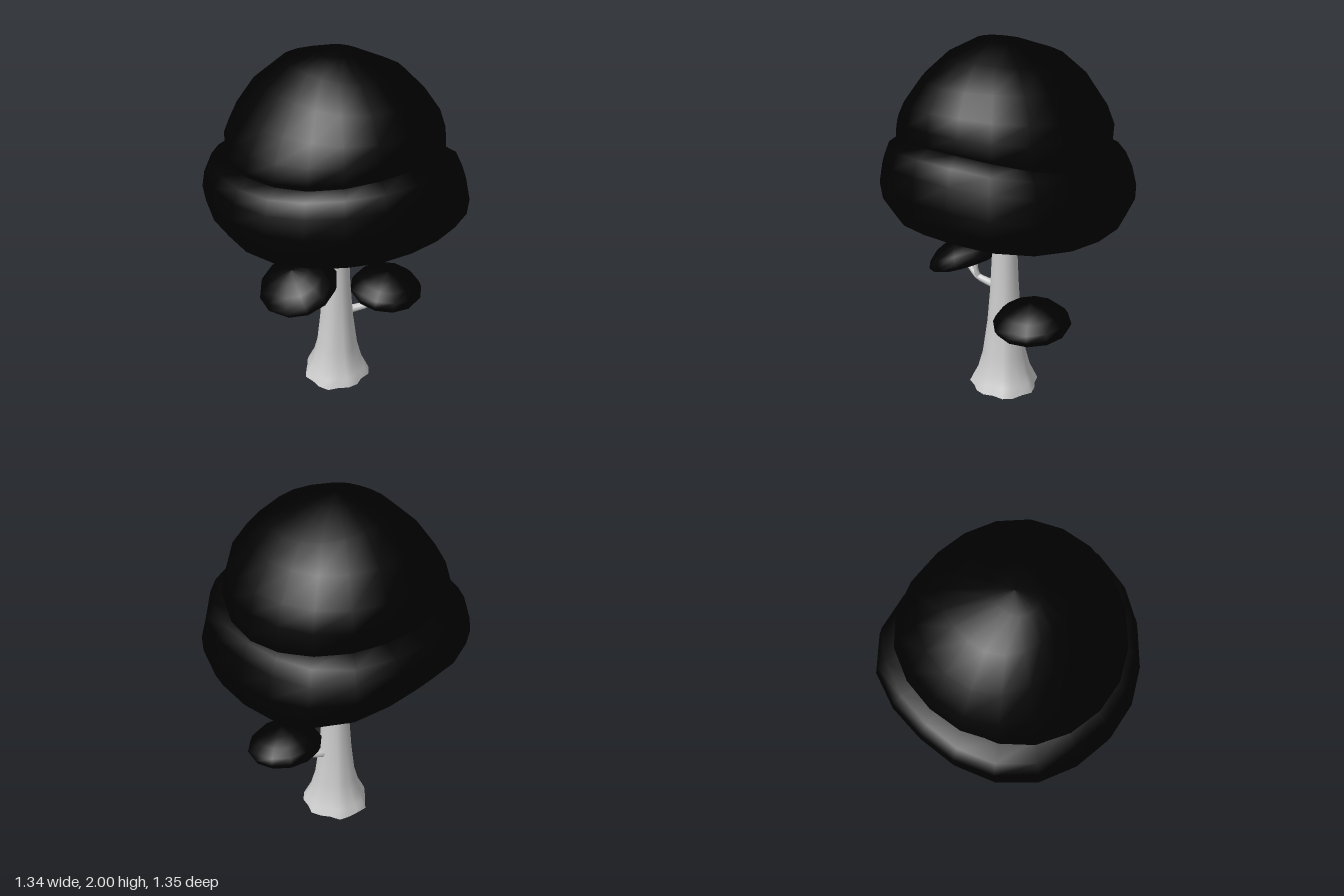
import * as THREE from 'three';

const bark = new THREE.MeshStandardMaterial({ color: 0xcccccc, side: THREE.DoubleSide });
const leaf = new THREE.MeshStandardMaterial({ color: 0x000000 });

// Smooth surface through closed rings stacked from bottom to top; point(row, angle) gives [x, y, z]
function loft(name, material, rows, segs, point) {
  const pos = [], index = [];
  for (let i = 0; i < rows; i++) {
    for (let j = 0; j < segs; j++) {
      pos.push(...point(i, (j / segs) * Math.PI * 2));
      if (i === rows - 1) continue;
      const a = i * segs + j, b = i * segs + (j + 1) % segs;
      index.push(a, a + segs, b, b, a + segs, b + segs);
    }
  }
  const g = new THREE.BufferGeometry();
  g.setAttribute('position', new THREE.Float32BufferAttribute(pos, 3));
  g.setIndex(index);
  g.computeVertexNormals();
  const mesh = new THREE.Mesh(g, material);
  mesh.name = name;
  return mesh;
}

// Lumpy crown: four [radius, height] profiles for left, front, right and back, blended around the axis;
// bulge widens the four diagonals between them
function crown(name, profiles, bulge, segs) {
  return loft(name, leaf, profiles[0].length, segs, (i, t) => {
    const quarter = Math.floor(t / (Math.PI / 2) + 1e-6) % 4;
    const w = Math.sin(t - quarter * Math.PI / 2) ** 2;
    const [r0, y0] = profiles[quarter][i], [r1, y1] = profiles[(quarter + 1) % 4][i];
    const r = (r0 + (r1 - r0) * w) * (1 + bulge[quarter] * Math.sin(2 * t) ** 2);
    return [r * Math.cos(t), y0 + (y1 - y0) * w, r * Math.sin(t)];
  });
}

// Small leaf pad on a branch
function pad(name, rx, rz) {
  const profile = [[0, -0.01], [0.7, -0.008], [0.93, 0.012], [1, 0.04], [0.92, 0.075],
    [0.72, 0.115], [0.4, 0.147], [0, 0.16]];
  return loft(name, leaf, profile.length, 12, (i, t) =>
    [profile[i][0] * rx * Math.cos(t), profile[i][1], profile[i][0] * rz * Math.sin(t)]);
}

// Tapering tube through a few points
function limb(name, points, r0, r1) {
  const curve = new THREE.CatmullRomCurve3(points.map(p => new THREE.Vector3(...p)));
  const segs = 8, sides = 8;
  const g = new THREE.TubeGeometry(curve, segs, 1, sides);
  const p = g.attributes.position, v = new THREE.Vector3();
  for (let i = 0; i < p.count; i++) {
    const t = Math.floor(i / (sides + 1)) / segs, c = curve.getPointAt(t);
    v.fromBufferAttribute(p, i).sub(c).multiplyScalar(r0 + (r1 - r0) * t).add(c);
    p.setXYZ(i, v.x, v.y, v.z);
  }
  const mesh = new THREE.Mesh(g, bark);
  mesh.name = name;
  return mesh;
}

export function createModel() {
  const tree = new THREE.Group();
  tree.name = 'tree';

  // Trunk rows: height, radius, depth of the root flutes
  const rows = [[0, 0.19, 0.06], [0.05, 0.168, 0.06], [0.1, 0.145, 0.055], [0.2, 0.12, 0.05],
    [0.4, 0.096, 0.03], [0.6, 0.081, 0.02], [0.8, 0.072, 0.01], [1.0, 0.065, 0], [1.08, 0.062, 0]];
  tree.add(loft('trunk', bark, rows.length, 20, (i, t) => {
    const [y, r, f] = rows[i];
    const s = r * (1 + f * Math.cos(7 * t + 0.6) + f * 0.5 * Math.sin(3 * t));
    return [0.018 + s * Math.cos(t), y, -0.01 + s * Math.sin(t)];
  }));

  // Wide lower crown
  tree.add(crown('lowerCrown', [
    [[0, 1.01], [0.5, 0.995], [0.64, 1.04], [0.67, 1.11], [0.665, 1.19], [0.63, 1.31], [0.59, 1.39], [0.5, 1.44], [0, 1.5]],
    [[0, 1.01], [0.38, 0.99], [0.59, 1.09], [0.655, 1.19], [0.67, 1.28], [0.65, 1.4], [0.62, 1.48], [0.53, 1.53], [0, 1.5]],
    [[0, 1.01], [0.46, 1.03], [0.59, 1.06], [0.66, 1.17], [0.67, 1.26], [0.65, 1.35], [0.62, 1.42], [0.54, 1.48], [0, 1.5]],
    [[0, 1.01], [0.32, 1.05], [0.58, 1.12], [0.66, 1.22], [0.675, 1.3], [0.67, 1.37], [0.62, 1.42], [0.5, 1.45], [0, 1.5]],
  ], [0.08, -0.03, 0.05, 0.09], 20));

  // Domed upper crown
  tree.add(crown('upperCrown', [
    [[0.55, 1.3], [0.585, 1.44], [0.57, 1.55], [0.53, 1.65], [0.44, 1.78], [0.35, 1.88], [0.13, 1.98], [0, 2]],
    [[0.5, 1.4], [0.55, 1.53], [0.55, 1.6], [0.53, 1.69], [0.45, 1.8], [0.32, 1.91], [0.13, 1.99], [0, 2]],
    [[0.52, 1.38], [0.57, 1.49], [0.545, 1.58], [0.47, 1.69], [0.36, 1.83], [0.24, 1.94], [0.13, 1.995], [0, 2]],
    [[0.5, 1.35], [0.53, 1.45], [0.575, 1.57], [0.54, 1.67], [0.45, 1.81], [0.3, 1.93], [0.1, 1.99], [0, 2]],
  ], [0.03, 0, 0.03, 0.04], 20));

  // Left branch with its twig and leaf pad
  tree.add(limb('leftBranch', [[0.06, 0.395, -0.01], [0.13, 0.405, 0.01], [0.2, 0.42, 0.05], [0.25, 0.445, 0.07], [0.3, 0.485, 0.09]], 0.026, 0.015));
  tree.add(limb('leftTwig', [[0.2, 0.42, 0.05], [0.21, 0.45, 0.065], [0.215, 0.49, 0.09]], 0.017, 0.01));
  const leftPad = pad('leftPad', 0.215, 0.21);
  leftPad.position.set(0.305, 0.482, 0.1);
  leftPad.rotation.x = 0.12;
  tree.add(leftPad);

  // Right branch with its twig and leaf pad
  tree.add(limb('rightBranch', [[-0.02, 0.6, -0.01], [-0.1, 0.605, -0.01], [-0.18, 0.625, 0], [-0.22, 0.655, 0], [-0.26, 0.69, 0]], 0.026, 0.014));
  tree.add(limb('rightTwig', [[-0.17, 0.62, 0], [-0.18, 0.66, 0.01], [-0.18, 0.73, 0.015]], 0.016, 0.01));
  const rightPad = pad('rightPad', 0.218, 0.235);
  rightPad.position.set(-0.25, 0.69, 0);
  rightPad.rotation.z = 0.38;
  tree.add(rightPad);

  return tree;
}
